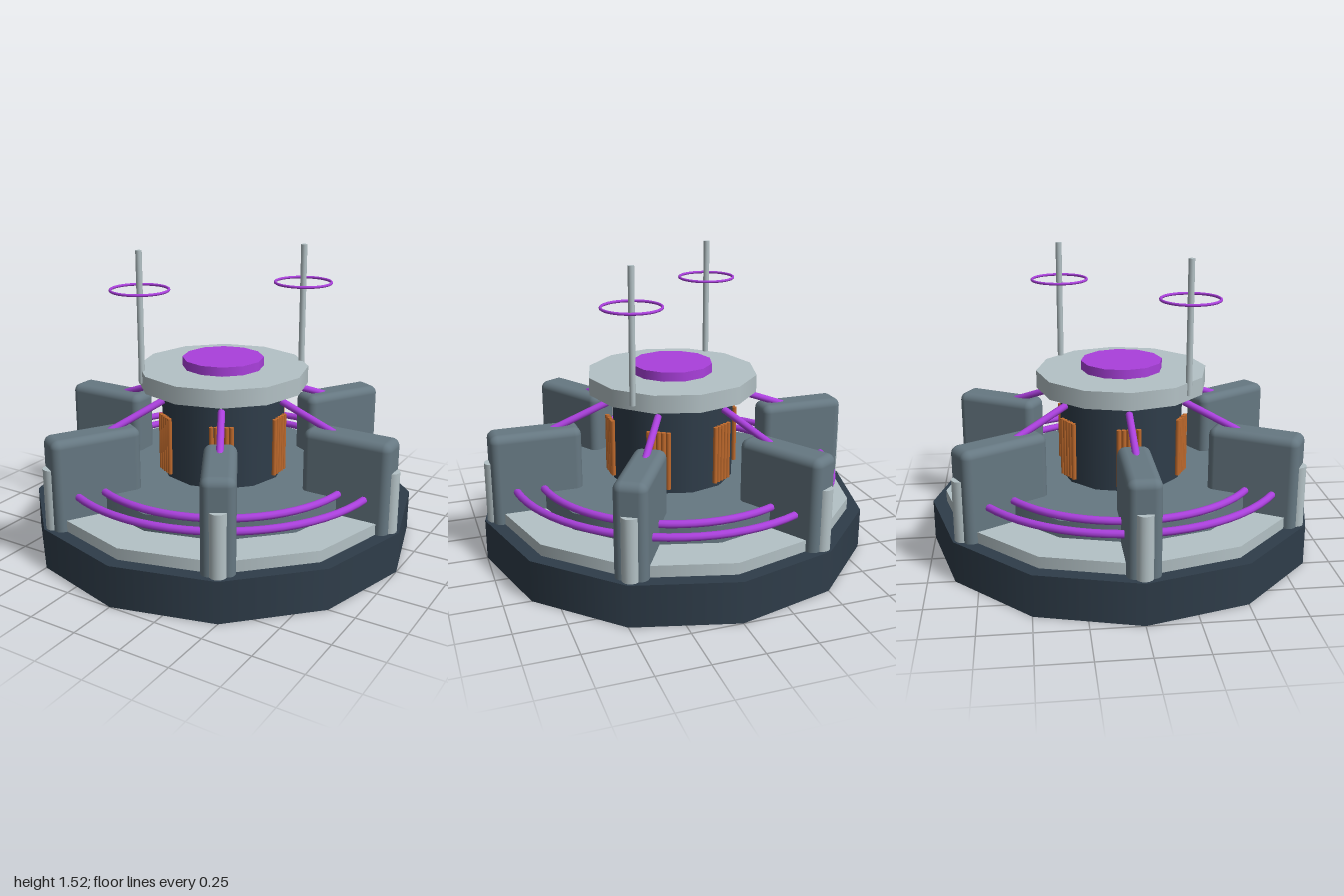
import * as THREE from 'three';
import { RoundedBoxGeometry } from 'three/addons/geometries/RoundedBoxGeometry.js';

const material = (color) => new THREE.MeshStandardMaterial({ color });

export function createModel() {
  const model = new THREE.Group();
  model.name = 'generator';

  const dark = material(0x2f3d4a);
  const slate = material(0x667882);
  const light = material(0xb4c2c6);
  const purple = material(0xaa40dc);
  const copper = material(0xc06a2c);

  function add(parent, name, geometry, mat, x = 0, y = 0, z = 0) {
    const mesh = new THREE.Mesh(geometry, mat);
    mesh.name = name;
    mesh.position.set(x, y, z);
    parent.add(mesh);
    return mesh;
  }

  // Upright cylinder between two heights
  function disc(parent, name, radius, y0, y1, mat, x = 0, z = 0, sides = 12) {
    const geometry = new THREE.CylinderGeometry(radius, radius, y1 - y0, sides);
    return add(parent, name, geometry, mat, x, (y0 + y1) / 2, z);
  }

  // Horizontal ring
  function ring(parent, name, radius, tube, y, x = 0, z = 0) {
    const geometry = new THREE.TorusGeometry(radius, tube, 10, 72).rotateX(Math.PI / 2);
    return add(parent, name, geometry, purple, x, y, z);
  }

  // Stepped base, core and cap
  disc(model, 'base', 1, 0, 0.21, dark);
  disc(model, 'lowerStep', 0.93, 0.2, 0.268, light);
  disc(model, 'upperStep', 0.72, 0.26, 0.355, slate);
  disc(model, 'core', 0.32, 0.34, 0.83, dark);
  disc(model, 'cap', 0.44, 0.82, 0.91, light);
  disc(model, 'capLight', 0.21, 0.9, 0.957, purple);

  // Energy rings threaded through the fins
  ring(model, 'innerRing', 0.71, 0.019, 0.377);
  ring(model, 'outerRing', 0.845, 0.019, 0.377);

  // Six radial sectors: fin, outer post, strut and winding
  const strutStart = new THREE.Vector3(0.345, 0.772, 0);
  const strutEnd = new THREE.Vector3(0.65, 0.655, 0);
  const strutPath = new THREE.LineCurve3(strutStart, strutEnd);
  for (let i = 0; i < 6; i++) {
    const sector = new THREE.Group();
    sector.name = 'sector';
    sector.rotation.y = (i * Math.PI) / 3;
    model.add(sector);

    add(sector, 'fin', new RoundedBoxGeometry(0.46, 0.525, 0.16, 4, 0.04), slate, 0.73, 0.4125, 0);
    disc(sector, 'post', 0.042, 0.2, 0.522, light, 0.945, 0, 16);

    const length = strutStart.distanceTo(strutEnd);
    const strut = add(sector, 'strut', new THREE.CylinderGeometry(0.018, 0.018, length, 12), purple);
    strut.position.copy(strutPath.getPoint(0.5));
    strut.quaternion.setFromUnitVectors(new THREE.Vector3(0, 1, 0), strutPath.getTangent(0));

    for (let k = -2; k <= 2; k++) {
      disc(sector, 'windingWire', 0.012, 0.39, 0.688, copper, 0.335, k * 0.025, 8);
    }
  }

  // Two masts at opposite corners of the cap
  for (const s of [1, -1]) {
    disc(model, 'mast', 0.016, 0.845, 1.52, light, s * 0.3, -s * 0.3);
    ring(model, 'mastRing', 0.145, 0.007, 1.325, s * 0.3, -s * 0.3);
  }

  return model;
}
